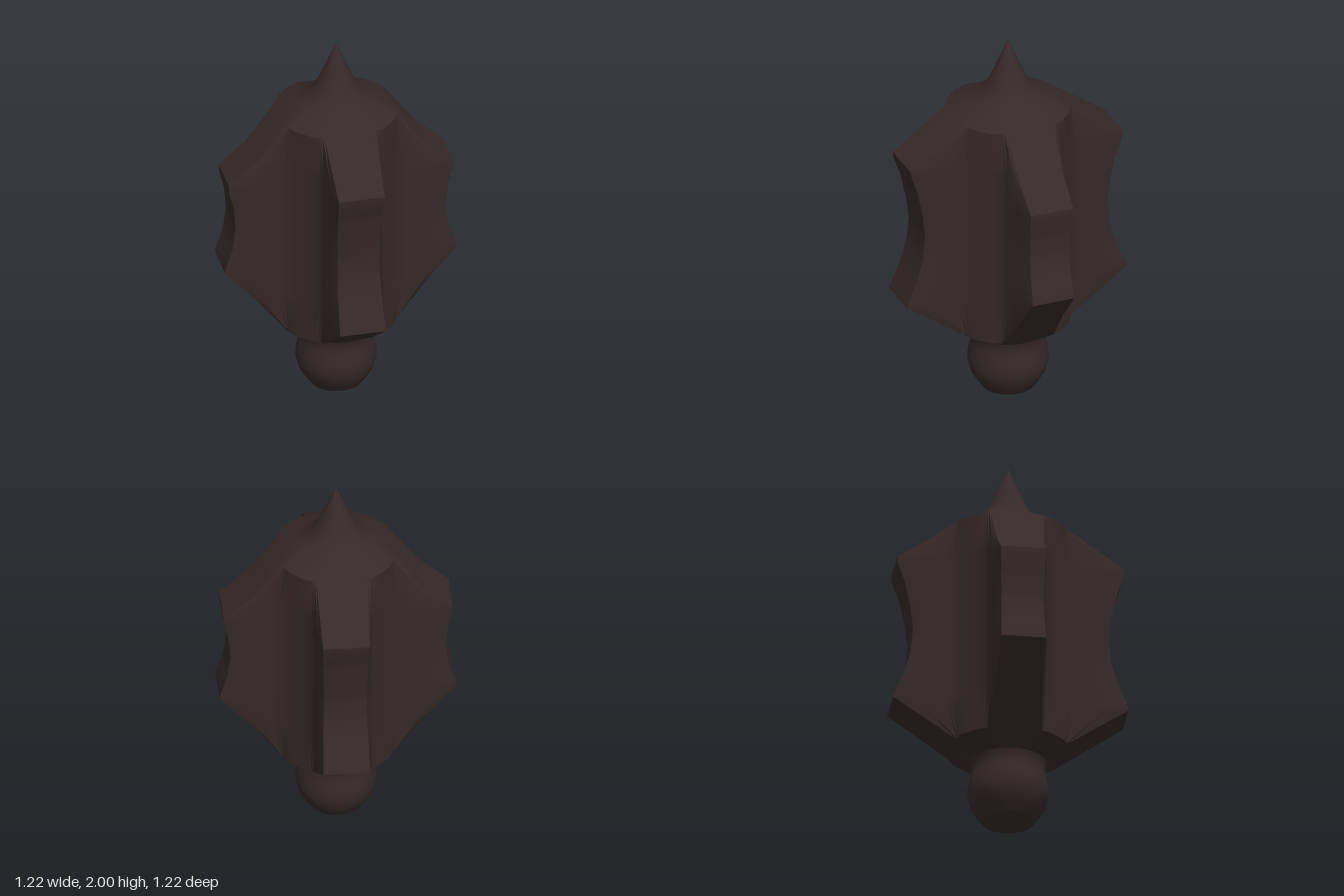
import * as THREE from 'three';
import { toCreasedNormals } from 'three/addons/utils/BufferGeometryUtils.js';

// Flange outlines, [radius, height] from bottom to top
const SIDE = [[0.29, 0.395], [0.455, 0.6], [0.61, 0.77], [0.605, 0.8], [0.57, 0.91], [0.555, 1.03], [0.565, 1.15], [0.59, 1.25], [0.59, 1.285], [0.44, 1.415], [0.29, 1.615]];
const FRONT = [[0.29, 0.395], [0.61, 0.615], [0.6, 0.65], [0.55, 0.77], [0.52, 0.88], [0.506, 1.01], [0.52, 1.13], [0.55, 1.27], [0.585, 1.37], [0.59, 1.405], [0.29, 1.615]];

// Radius of an outline at a height
function radiusAt(outline, y) {
  for (let i = 1; i < outline.length; i++) {
    const [r0, y0] = outline[i - 1], [r1, y1] = outline[i];
    if (y <= y1 + 1e-6) return r0 + (r1 - r0) * (y - y0) / (y1 - y0);
  }
  return outline[outline.length - 1][0];
}

// Half of one flange's plan: flat tip, bulging cheek, fillet into the core
function halfPlan(r, y) {
  const tip = 0.108 + 0.02 * Math.abs(y - 1) / 0.6;
  const fit = (x, k) => Math.min(x, r - 0.004 * k);
  return [
    [r, 0], [r, tip / 2], [r, tip],
    [fit((r + 0.33) / 2 + 0.03, 1), 0.136],
    [fit(0.335, 2), 0.145], [fit(0.305, 3), 0.155],
    [0.26, 0.192], [0.226, 0.226],
  ];
}

// Complete cross-shaped section, turning from +x to +z
function section(y) {
  const rx = radiusAt(SIDE, y), rz = radiusAt(FRONT, y), ring = [];
  for (let q = 0; q < 4; q++) {
    const a = halfPlan(q % 2 ? rz : rx, y), b = halfPlan(q % 2 ? rx : rz, y);
    const quarter = [...a, ...b.slice(1, -1).reverse().map(([u, v]) => [v, u])];
    const c = [1, 0, -1, 0][q], s = [0, 1, 0, -1][q];
    for (const [u, v] of quarter) ring.push([u * c - v * s, y, u * s + v * c]);
  }
  return ring;
}

// Round section that lines up with a cross-shaped one
function roundSection(like, radius, y) {
  return section(like).map(([x, , z]) => {
    const k = radius / Math.hypot(x, z);
    return [x * k, y, z * k];
  });
}

function loft(rings) {
  const pos = [], n = rings[0].length;
  for (let i = 0; i + 1 < rings.length; i++) {
    for (let j = 0; j < n; j++) {
      const k = (j + 1) % n;
      const a = rings[i][j], b = rings[i][k], c = rings[i + 1][j], d = rings[i + 1][k];
      pos.push(...a, ...c, ...b, ...b, ...c, ...d);
    }
  }
  const geo = new THREE.BufferGeometry();
  geo.setAttribute('position', new THREE.Float32BufferAttribute(pos, 3));
  return geo;
}

export function createModel() {
  const group = new THREE.Group();
  const iron = new THREE.MeshStandardMaterial({ color: 0x362929 });
  iron.name = 'darkIron';

  const add = (name, geo) => {
    const mesh = new THREE.Mesh(toCreasedNormals(geo, 0.75), iron);
    mesh.name = name;
    group.add(mesh);
  };
  const turned = (points) =>
    new THREE.LatheGeometry(points.map(([x, y]) => new THREE.Vector2(x, y)), 40);

  // Four-flanged head with rounded shoulders
  const heights = [...new Set([...SIDE, ...FRONT].map((p) => p[1]))].sort((a, b) => a - b);
  add('flangedHead', loft([
    roundSection(0.395, 0.2, 0.325),
    ...heights.map(section),
    roundSection(1.615, 0.2, 1.675),
  ]));

  // Pointed top
  add('spike', turned([[0.202, 1.673], [0.15, 1.704], [0.122, 1.735], [0.1, 1.77], [0.05, 1.885], [0, 2]]));

  // Bulbous socket with a shallow recess underneath
  add('socket', turned([
    [0, 0.02], [0.085, 0.02], [0.137, 0], [0.165, 0.04], [0.193, 0.085], [0.208, 0.14],
    [0.207, 0.19], [0.197, 0.24], [0.192, 0.275], [0.195, 0.305], [0.204, 0.328],
  ]));

  return group;
}
